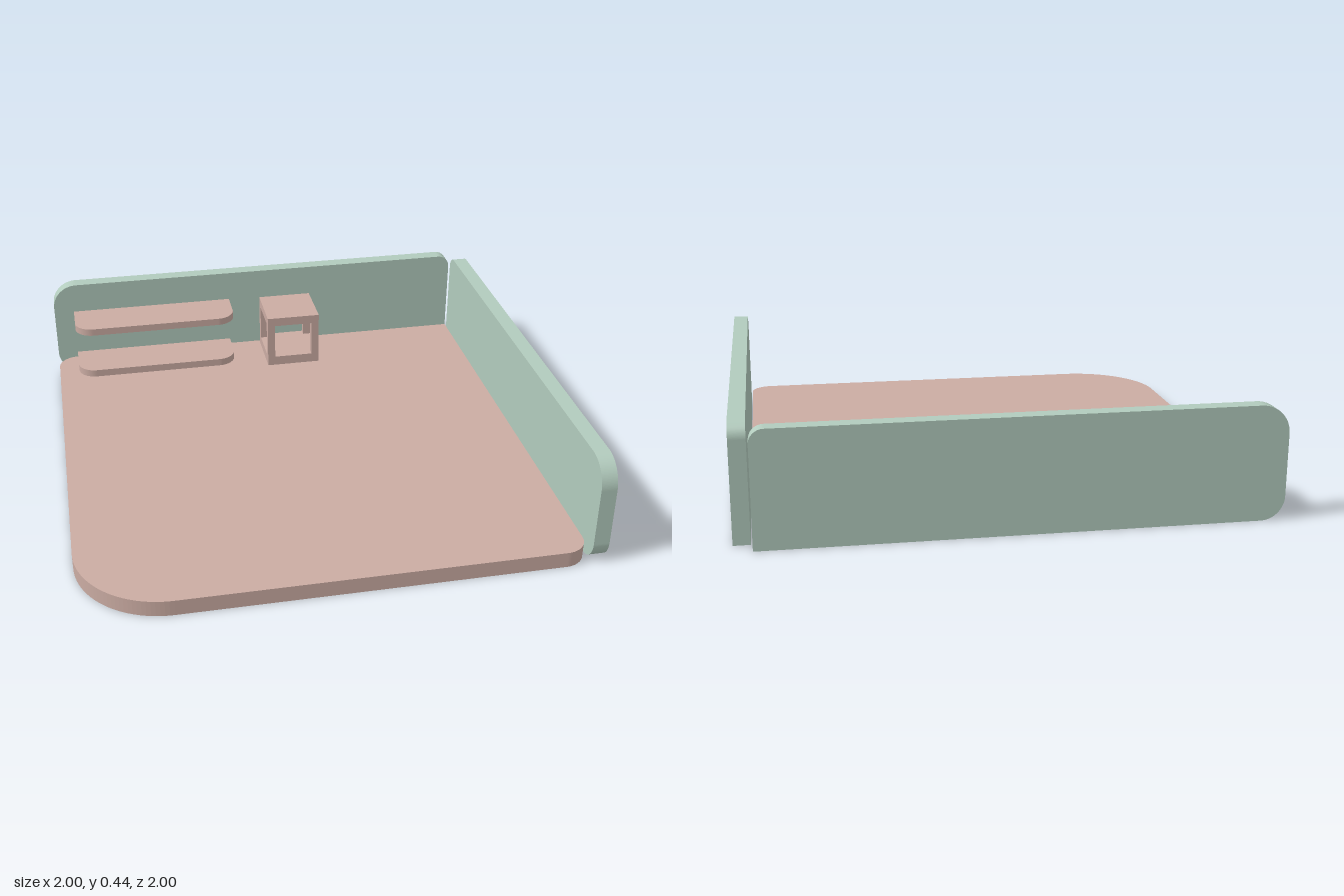
import * as THREE from 'three';

const pink = new THREE.MeshStandardMaterial({ name: 'dusty pink', color: 0xcbaca3 });
const green = new THREE.MeshStandardMaterial({ name: 'sage green', color: 0xb2cbbd });

// Rectangle with its own radius per corner: lower-left, lower-right, upper-right, upper-left
function roundedRect(x0, y0, x1, y1, [ll, lr, ur, ul]) {
  const s = new THREE.Shape();
  const q = Math.PI / 2;
  const corner = (x, y, r, start) => {
    if (r > 0) s.absarc(x, y, r, start, start + q, false);
    else s.lineTo(x, y);
  };
  s.moveTo(x0 + ll, y0);
  corner(x1 - lr, y0 + lr, lr, -q);
  corner(x1 - ur, y1 - ur, ur, 0);
  corner(x0 + ul, y1 - ul, ul, q);
  corner(x0 + ll, y0 + ll, ll, 2 * q);
  return s;
}

const extrude = (shape, depth) =>
  new THREE.ExtrudeGeometry(shape, { depth, bevelEnabled: false, curveSegments: 16 });

export function createModel() {
  const model = new THREE.Group();
  model.name = 'cornerRoom';

  const add = (name, geometry, material, parent = model) => {
    const mesh = new THREE.Mesh(geometry, material);
    mesh.name = name;
    parent.add(mesh);
    return mesh;
  };

  // Horizontal slab drawn in plan (shape y = -z), lying from y0 to y1
  const slab = (name, x0, x1, z0, z1, y0, y1, radii) => {
    const g = extrude(roundedRect(x0, -z1, x1, -z0, radii), y1 - y0);
    g.rotateX(-Math.PI / 2).translate(0, y0, 0);
    return add(name, g, pink);
  };

  // Floor, with one large rounded corner at the open side
  slab('floor', -1, 0.93, -0.94, 1, 0, 0.065, [0.35, 0.09, 0, 0.09]);

  // Back wall
  const back = extrude(roundedRect(-1, 0, 0.93, 0.44, [0.09, 0, 0.055, 0.11]), 0.06);
  add('backWall', back.translate(0, 0, -1), green);

  // Side wall, drawn with shape x = -z
  const side = extrude(roundedRect(-1, 0, 0.935, 0.44, [0.09, 0, 0.055, 0.11]), 0.063);
  add('sideWall', side.rotateY(Math.PI / 2).translate(0.937, 0, 0), green);

  // Lower and upper shelf boards
  slab('lowerShelf', -0.91, -0.17, -0.925, -0.72, 0.065, 0.098, [0.08, 0.08, 0, 0]);
  slab('upperShelf', -0.91, -0.17, -0.925, -0.72, 0.28, 0.312, [0.08, 0.08, 0, 0]);

  // Open cube: base, lid and four corner posts
  const cube = new THREE.Group();
  cube.name = 'openCube';
  cube.position.set(0.1, 0, -0.798);
  model.add(cube);
  const width = 0.244, post = 0.034;
  const block = (name, w, y0, y1, x = 0, z = 0) =>
    add(name, new THREE.BoxGeometry(w, y1 - y0, w), pink, cube).position.set(x, (y0 + y1) / 2, z);
  block('cubeBase', width, 0.065, 0.108);
  block('cubeLid', width, 0.27, 0.31);
  const offset = (width - post) / 2;
  for (const sx of [-1, 1]) for (const sz of [-1, 1])
    block('cubePost', post, 0.108, 0.27, sx * offset, sz * offset);

  return model;
}
